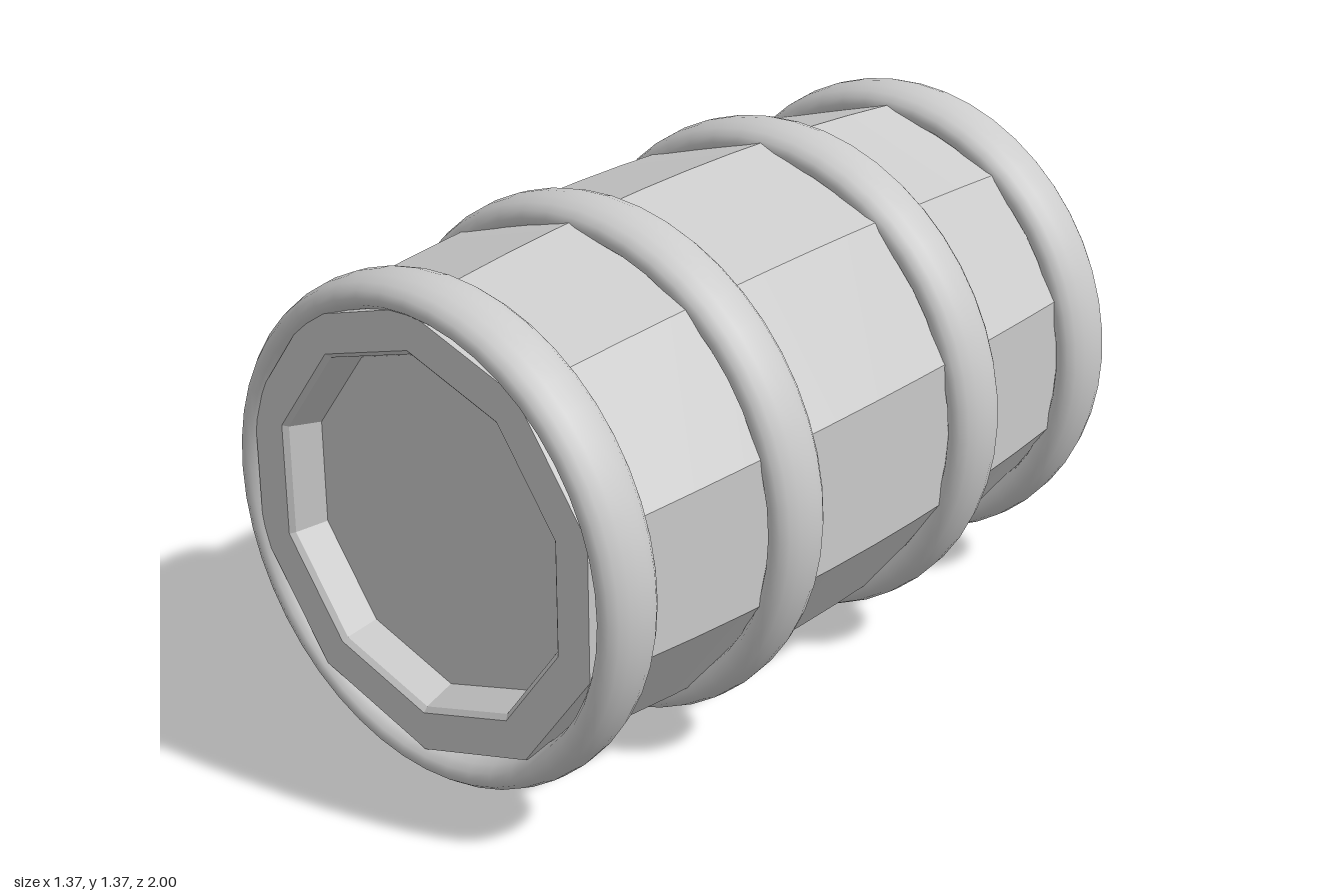
import * as THREE from 'three';

export function createModel() {
  const group = new THREE.Group();
  const smooth = new THREE.MeshStandardMaterial({ color: 0xcccccc });
  const faceted = new THREE.MeshStandardMaterial({ color: 0xcccccc, flatShading: true });

  // Ten-sided bulging body, closed at the back, with a recessed front lid
  const end = 0.985, steps = 12;
  const profile = [new THREE.Vector2(0, -end)];
  for (let i = 0; i <= steps; i++) {
    const z = -end + (2 * end * i) / steps;
    profile.push(new THREE.Vector2(0.65 - 0.063 * z * z, z));
  }
  profile.push(
    new THREE.Vector2(0.485, end),
    new THREE.Vector2(0.472, end - 0.012),
    new THREE.Vector2(0.445, 0.89),
    new THREE.Vector2(0, 0.89)
  );
  const bodyGeometry = new THREE.LatheGeometry(profile, 10);
  bodyGeometry.rotateX(Math.PI / 2);
  const body = new THREE.Mesh(bodyGeometry, faceted);
  body.name = 'barrelBody';
  body.position.set(-0.007, 0.692, 0);
  group.add(body);

  // Hoops: rings with an oval section, wider along the barrel than they are thick
  const addHoop = (name, radius, y, z, widthScale) => {
    const tube = 0.046;
    const hoop = new THREE.Mesh(new THREE.TorusGeometry(radius - tube, tube, 16, 48), smooth);
    hoop.name = name;
    hoop.scale.set(widthScale, 1, 0.09 / tube);
    hoop.position.set(0, y, z);
    group.add(hoop);
  };
  addHoop('frontEndHoop', 0.657, 0.68, 0.91, 0.987);
  addHoop('frontMiddleHoop', 0.685, 0.685, 0.35, 1);
  addHoop('backMiddleHoop', 0.685, 0.685, -0.37, 1);
  addHoop('backEndHoop', 0.657, 0.68, -0.91, 0.987);

  return group;
}
